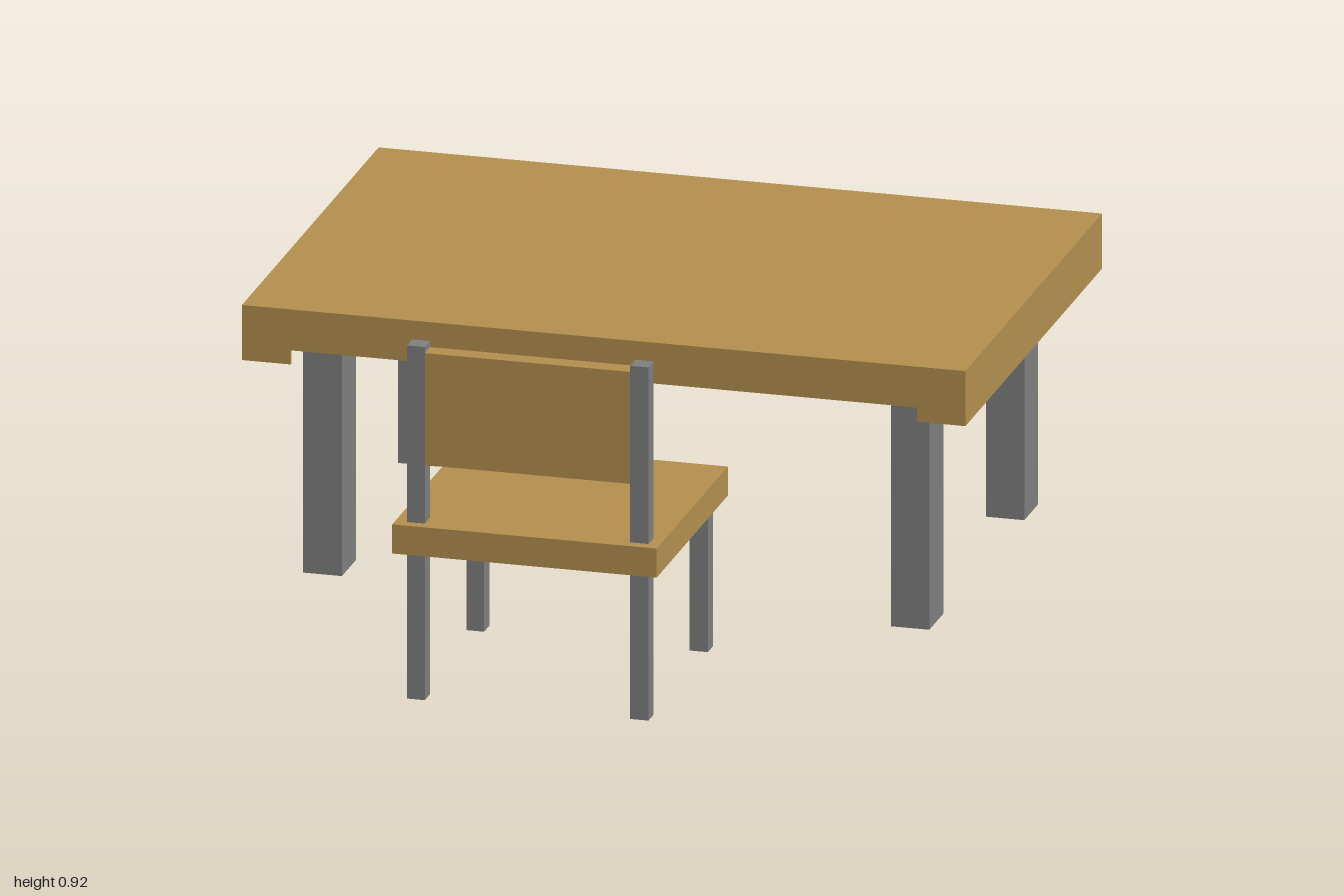
import * as THREE from 'three';

const wood = new THREE.MeshStandardMaterial({ color: 0xb5904f });
const metal = new THREE.MeshStandardMaterial({ color: 0x808080 });

// Box given by its min and max along each axis
function box(name, material, [x0, x1], [y0, y1], [z0, z1]) {
  const mesh = new THREE.Mesh(new THREE.BoxGeometry(x1 - x0, y1 - y0, z1 - z0), material);
  mesh.position.set((x0 + x1) / 2, (y0 + y1) / 2, (z0 + z1) / 2);
  mesh.name = name;
  return mesh;
}

function createTable() {
  const table = new THREE.Group();
  table.name = 'table';
  const W = 0.93, back = -1, front = 0.248;
  const bottom = 0.588, ceiling = 0.722, top = 0.732, rim = 0.008;

  // Thin top board with a hollow underside framed by thin aprons
  table.add(box('tableTop', wood, [-W, W], [ceiling, top], [back, front]));
  table.add(box('backApron', wood, [-W, W], [bottom, ceiling], [back, back + rim]));
  for (const [name, x] of [['rightApron', -W], ['leftApron', W - rim]]) {
    table.add(box(name, wood, [x, x + rim], [bottom, ceiling], [back + rim, front - rim]));
  }

  // Front apron, cut away between the legs
  const notch = 0.805, notchTop = 0.625;
  const outline = new THREE.Shape([
    [-W, bottom], [-notch, bottom], [-notch, notchTop], [notch, notchTop],
    [notch, bottom], [W, bottom], [W, ceiling], [-W, ceiling],
  ].map(([x, y]) => new THREE.Vector2(x, y)));
  const apron = new THREE.Mesh(
    new THREE.ExtrudeGeometry(outline, { depth: rim, bevelEnabled: false }), wood);
  apron.position.z = front - rim;
  apron.name = 'frontApron';
  table.add(apron);

  // Four thick legs
  for (const x of [[-0.808, -0.708], [0.704, 0.802]]) {
    for (const z of [[-0.87, -0.745], [-0.005, 0.123]]) {
      table.add(box('tableLeg', metal, x, [0.002, ceiling], z));
    }
  }
  return table;
}

function createChair() {
  const chair = new THREE.Group();
  chair.name = 'chair';

  // Wooden seat with a grey underside
  const seatFaces = [wood, wood, wood, metal, wood, wood];
  chair.add(box('seat', seatFaces, [-0.332, 0.348], [0.386, 0.462], [0.35, 1]));

  // Tall posts carry the backrest, short legs hold the other edge
  for (const x of [[-0.302, -0.256], [0.272, 0.319]]) {
    chair.add(box('backPost', metal, x, [0, 0.924], [0.924, 0.972]));
    chair.add(box('chairLeg', metal, x, [0, 0.386], [0.383, 0.43]));
  }
  chair.add(box('backrest', wood, [-0.256, 0.272], [0.615, 0.908], [0.924, 0.972]));
  return chair;
}

export function createModel() {
  const model = new THREE.Group();
  model.name = 'tableAndChair';
  model.add(createTable(), createChair());
  return model;
}
